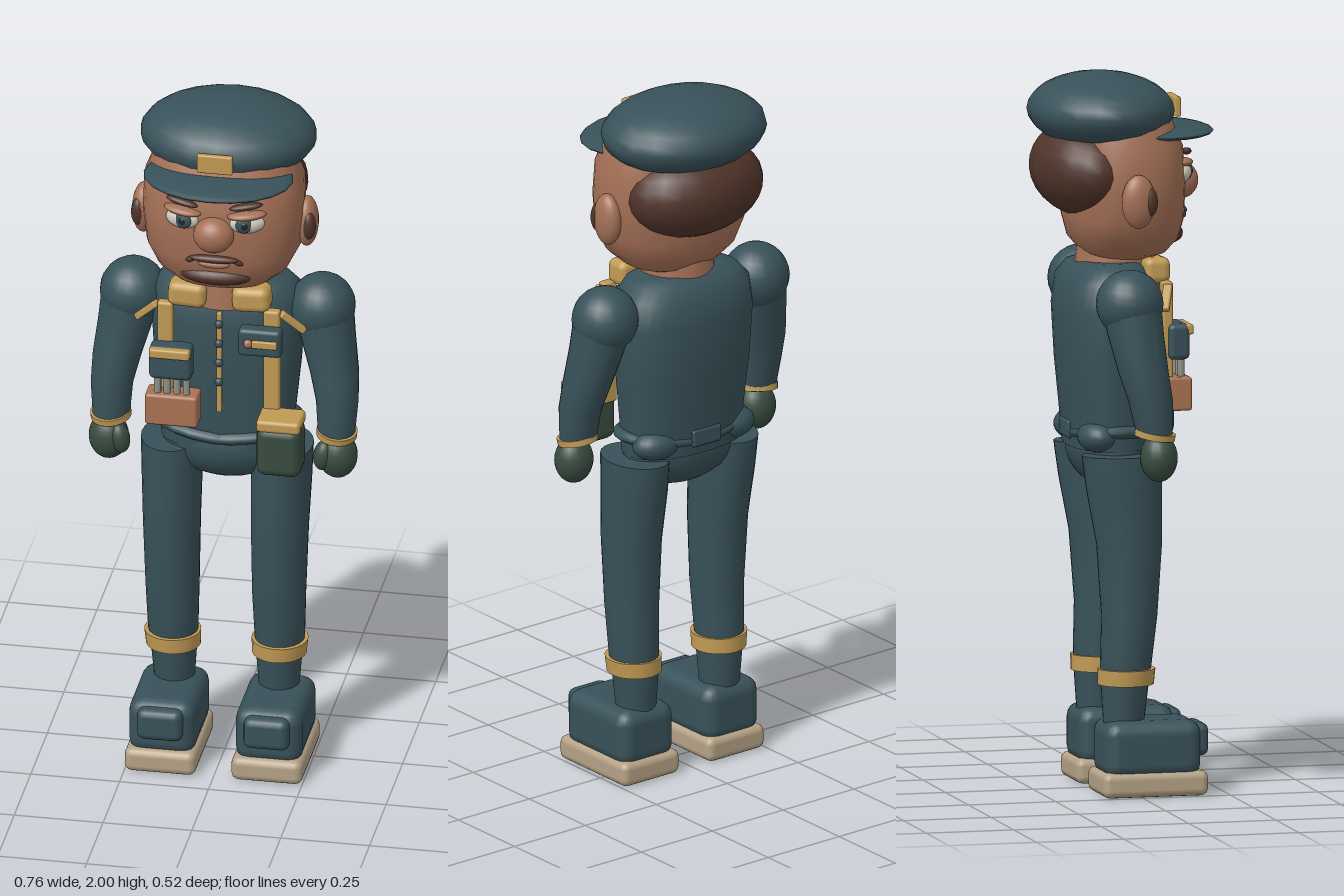
import * as THREE from 'three';
import { toCreasedNormals } from 'three/addons/utils/BufferGeometryUtils.js';
import { RoundedBoxGeometry } from 'three/addons/geometries/RoundedBoxGeometry.js';

const mat = (name, color) => {
  const m = new THREE.MeshStandardMaterial({ color });
  m.name = name;
  return m;
};

// Closed body from elliptical rings [y, cx, cz, rx, rz], bottom to top; n squares the section
function loft(rings, n = 2, seg = 24) {
  const pos = [], idx = [];
  const p = (v) => Math.sign(v) * Math.abs(v) ** (2 / n);
  for (const [y, cx, cz, rx, rz] of rings) {
    for (let i = 0; i < seg; i++) {
      const a = (i / seg) * Math.PI * 2;
      pos.push(cx + rx * p(Math.sin(a)), y, cz + rz * p(Math.cos(a)));
    }
  }
  const top = (rings.length - 1) * seg, c = rings.length * seg;
  for (const r of [rings[0], rings[rings.length - 1]]) pos.push(r[1], r[0], r[2]);
  for (let i = 0; i < seg; i++) {
    const k = (i + 1) % seg;
    for (let j = 0; j < top; j += seg) {
      idx.push(j + i, j + k, j + seg + k, j + i, j + seg + k, j + seg + i);
    }
    idx.push(c, k, i, c + 1, top + i, top + k);
  }
  const g = new THREE.BufferGeometry();
  g.setAttribute('position', new THREE.Float32BufferAttribute(pos, 3));
  g.setIndex(idx);
  return toCreasedNormals(g, 0.8);
}

export function createModel() {
  const model = new THREE.Group();
  const cloth = mat('uniform cloth', 0x385159);
  const gold = mat('gold trim', 0xc09a54);
  const skin = mat('skin', 0xa47056);
  const hair = mat('hair', 0x50342a);
  const sole = mat('sole beige', 0xb5a286);
  const green = mat('glove green', 0x384c40);
  const leather = mat('leather', 0xa97353);
  const white = mat('eye white', 0xd2ccbc);
  const metal = mat('tool metal', 0x8f918a);
  const dark = mat('dark pupil', 0x1c2527);

  const add = (name, geo, m, pos = [0, 0, 0], rot = [0, 0, 0]) => {
    const o = new THREE.Mesh(geo, m);
    o.name = name;
    o.position.set(...pos);
    o.rotation.set(...rot);
    model.add(o);
    return o;
  };
  const ball = (name, m, pos, r, rot) =>
    add(name, new THREE.SphereGeometry(1, 20, 14), m, pos, rot).scale.set(...r);
  const box = (name, m, pos, [w, h, d], rot, r = 0.25) =>
    add(name, new RoundedBoxGeometry(w, h, d, 2, Math.min(w, h, d) * r), m, pos, rot);

  // Head and neck
  add('head', loft([
    [1.485, 0, 0.0, 0.1, 0.085], [1.5, 0, 0.005, 0.14, 0.115], [1.54, 0, 0.005, 0.185, 0.148],
    [1.6, 0, 0.005, 0.215, 0.162], [1.7, 0, 0.005, 0.226, 0.165], [1.8, 0, 0.0, 0.222, 0.163],
    [1.88, 0, -0.01, 0.19, 0.14],
  ], 2.4, 32), skin);
  add('neck', new THREE.CylinderGeometry(0.1, 0.115, 0.12, 24), skin, [0, 1.475, -0.02]);
  ball('hair', hair, [0, 1.735, -0.105], [0.215, 0.135, 0.148], [0.2, 0, 0]);

  // Face
  ball('nose', skin, [0, 1.69, 0.172], [0.057, 0.052, 0.048]);
  ball('moustache', hair, [0, 1.612, 0.166], [0.07, 0.012, 0.016]);
  ball('lips', leather, [0, 1.594, 0.162], [0.045, 0.012, 0.014]);
  ball('goatee', hair, [0, 1.548, 0.11], [0.115, 0.034, 0.062]);
  for (const s of [-1, 1]) {
    ball('mouthCorner', hair, [s * 0.065, 1.605, 0.158], [0.018, 0.009, 0.012], [0, 0, -s * 0.5]);
    ball('eye', white, [s * 0.09, 1.725, 0.15], [0.05, 0.03, 0.028], [0, s * 0.2, 0]);
    ball('iris', cloth, [s * 0.086, 1.727, 0.172], [0.024, 0.024, 0.01], [0, s * 0.2, 0]);
    ball('pupil', dark, [s * 0.086, 1.727, 0.179], [0.011, 0.011, 0.005]);
    ball('eyelid', skin, [s * 0.09, 1.752, 0.155], [0.055, 0.013, 0.028], [0, s * 0.2, s * 0.08]);
    ball('eyebrow', hair, [s * 0.09, 1.782, 0.165], [0.047, 0.01, 0.014], [0, s * 0.2, s * 0.15]);
    ball('ear', skin, [s * 0.23, 1.665, -0.008], [0.032, 0.075, 0.048]);
    ball('innerEar', hair, [s * 0.24, 1.665, 0.022], [0.02, 0.042, 0.022]);
  }

  // Cap
  ball('cap', cloth, [0, 1.895, -0.057], [0.247, 0.105, 0.202]);
  ball('capVisor', cloth, [0, 1.835, 0.1], [0.21, 0.02, 0.157]);
  box('capBadge', gold, [0, 1.9, 0.152], [0.1, 0.055, 0.018]);

  // Torso and hips
  add('torso', loft([
    [0.96, 0, -0.045, 0.185, 0.108], [1.05, 0, -0.046, 0.19, 0.115], [1.2, 0, -0.05, 0.205, 0.125],
    [1.35, 0, -0.052, 0.214, 0.131], [1.43, 0, -0.05, 0.205, 0.122], [1.465, 0, -0.045, 0.175, 0.1],
    [1.478, 0, -0.04, 0.13, 0.075],
  ], 2.4, 32), cloth);
  ball('pelvis', cloth, [0, 0.96, -0.04], [0.185, 0.116, 0.11]);
  for (const s of [-1, 1]) {
    ball('beltFold', cloth, [s * 0.03, 1.0, -0.04], [0.185, 0.035, 0.122], [0, 0, s * 0.1]);
    ball('hipPouch', cloth, [s * 0.13, 1.0, -0.1], [0.075, 0.045, 0.055]);
  }
  box('beltBack', cloth, [0, 1.01, -0.15], [0.1, 0.05, 0.03]);

  // Arms and legs
  for (const s of [-1, 1]) {
    ball('shoulder', cloth, [s * 0.266, 1.387, -0.043], [0.093, 0.094, 0.094]);
    add('arm', loft([
      [1.025, s * 0.317, 0.015, 0.052, 0.05], [1.12, s * 0.317, 0.004, 0.059, 0.062],
      [1.2, s * 0.306, -0.014, 0.068, 0.07], [1.3, s * 0.285, -0.03, 0.077, 0.078],
      [1.4, s * 0.268, -0.042, 0.085, 0.085],
    ]), cloth);
    add('cuff', new THREE.CylinderGeometry(0.057, 0.057, 0.018, 20), gold,
      [s * 0.318, 1.027, 0.016], [0.15, 0, -s * 0.1]);
    ball('glove', green, [s * 0.322, 0.962, 0.026], [0.056, 0.068, 0.052]);
    ball('thumb', green, [s * 0.286, 0.968, 0.05], [0.028, 0.045, 0.028], [0, 0, -s * 0.15]);

    add('leg', loft([
      [0.18, s * 0.147, -0.03, 0.055, 0.055], [0.3, s * 0.148, -0.027, 0.064, 0.066],
      [0.36, s * 0.15, -0.024, 0.07, 0.071], [0.5, s * 0.15, -0.014, 0.075, 0.078],
      [0.7, s * 0.152, -0.015, 0.08, 0.092], [0.85, s * 0.154, -0.03, 0.084, 0.106],
      [0.95, s * 0.156, -0.037, 0.085, 0.113],
    ]), cloth);
    add('ankleBand', loft([
      [0.308, s * 0.149, -0.024, 0.076, 0.078], [0.352, s * 0.151, -0.022, 0.079, 0.08],
    ]), gold);
    box('boot', cloth, [s * 0.15, 0.13, 0.037], [0.188, 0.162, 0.275]);
    box('toeCap', cloth, [s * 0.15, 0.152, 0.165], [0.128, 0.092, 0.07], undefined, 0.3);
    box('sole', sole, [s * 0.15, 0.035, 0.04], [0.2, 0.07, 0.3], undefined, 0.3);
  }

  // Collar and shoulder straps
  for (const s of [-1, 1]) {
    box('collar', gold, [s * 0.09, 1.455, 0.072], [0.108, 0.074, 0.075], [0, 0, s * 0.04], 0.3);
    box('shoulderStrap', gold, [s * 0.205, 1.39, 0.078], [0.09, 0.02, 0.025], [0, s * 0.4, -s * 0.75]);
  }
  box('rightStrap', gold, [-0.15, 1.26, 0.092], [0.044, 0.34, 0.03]);
  box('leftStrap', gold, [0.15, 1.25, 0.092], [0.046, 0.36, 0.03]);

  // Front closure
  box('zip', gold, [0, 1.25, 0.084], [0.014, 0.31, 0.016]);
  for (let i = 0; i < 4; i++) ball('button', cloth, [0, 1.19 + i * 0.06, 0.092], [0.012, 0.012, 0.01]);

  // Right chest pouch, tools and leather holder
  box('chestPouch', cloth, [-0.128, 1.262, 0.122], [0.12, 0.1, 0.06]);
  box('pouchTrim', gold, [-0.128, 1.296, 0.15], [0.114, 0.028, 0.025]);
  for (let i = 0; i < 4; i++) {
    add('tool', new THREE.CylinderGeometry(0.01, 0.01, 0.09, 10), metal, [-0.165 + i * 0.027, 1.17, 0.13]);
  }
  box('toolHolder', leather, [-0.124, 1.118, 0.12], [0.148, 0.094, 0.07], undefined, 0.12);

  // Left chest radio and hip bag
  box('radio', cloth, [0.123, 1.345, 0.122], [0.12, 0.082, 0.045]);
  box('radioBar', gold, [0.138, 1.346, 0.147], [0.07, 0.022, 0.014]);
  ball('radioKnob', leather, [0.092, 1.346, 0.148], [0.013, 0.013, 0.01]);
  box('hipBag', green, [0.183, 1.03, 0.138], [0.126, 0.15, 0.104]);
  box('hipBagFlap', gold, [0.183, 1.11, 0.138], [0.124, 0.036, 0.1], undefined, 0.3);

  return model;
}
